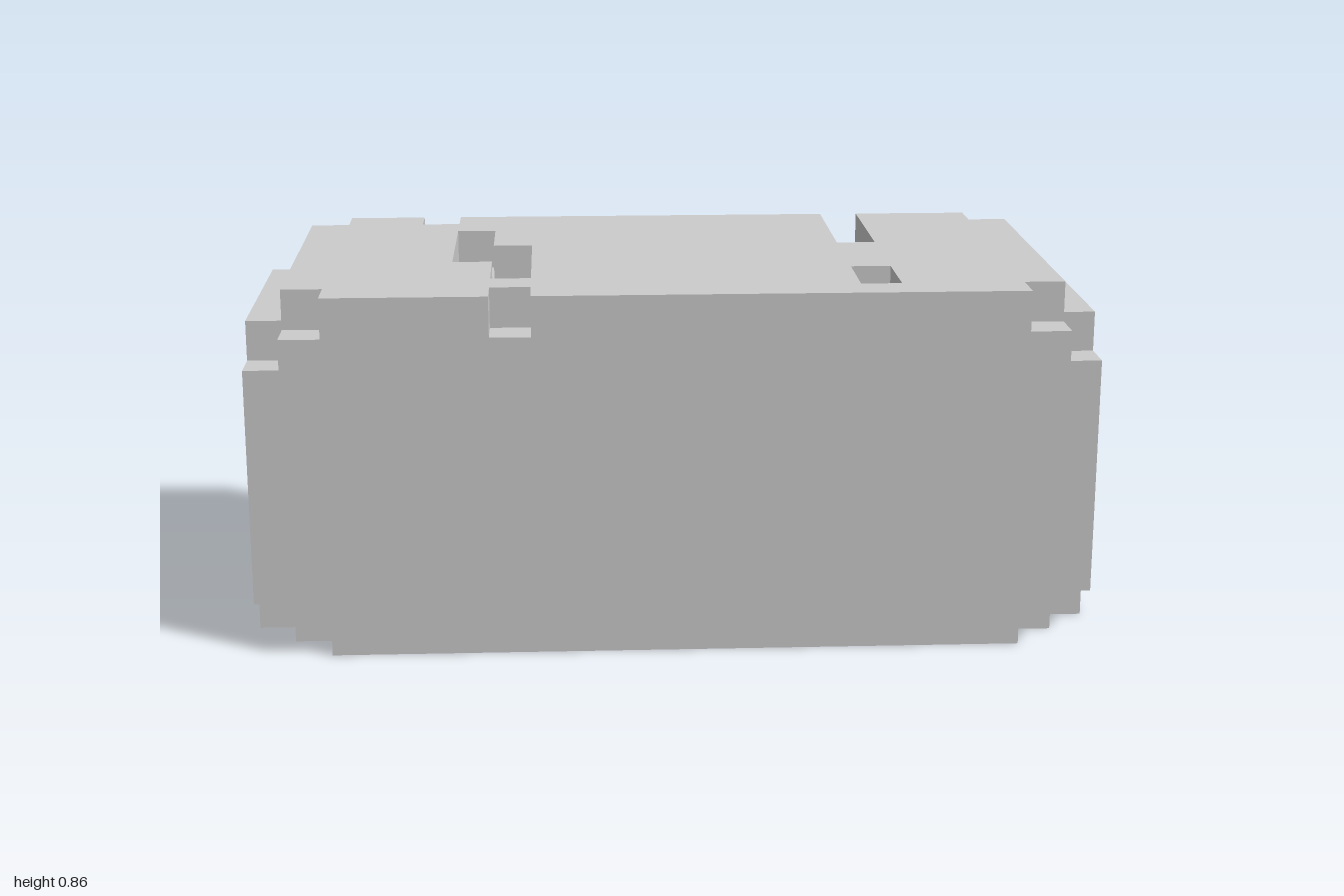
import * as THREE from 'three';

// Block grid: 21 x 9 x 10 cells
const NX = 21, NY = 9, NZ = 10, U = 2 / NX;

// Slots sunk one cell into the top: [column, first row, last row]
const slots = [[4, 0, 0], [5, 2, 5], [6, 4, 7], [6, 9, 9], [15, 0, 3], [15, 7, 8]];

// Main block: corners clipped at top and bottom, slots cut in the top
function inBody(x, y, z) {
  if (x < 1 || x > NX - 2 || y < 0 || y >= NY || z < 0 || z >= NZ) return false;
  const corner = (x === 1 || x === NX - 2) && (z === 0 || z === NZ - 1);
  if (corner && (y === 0 || y === NY - 1)) return false;
  return !(y === NY - 1 && slots.some(([c, a, b]) => x === c && z >= a && z <= b));
}

// End plates: one cell thick, narrower and lower, with clipped corners
function inEnd(x, y, z) {
  if ((x !== 0 && x !== NX - 1) || y < 0 || y > NY - 2 || z < 1 || z > NZ - 2) return false;
  return !((z === 1 || z === NZ - 2) && (y === 0 || y === NY - 2));
}

const solid = (...c) => inBody(...c) || inEnd(...c);

// Outer faces of all cells that belong to one part
function blockPart(name, inside) {
  const pos = [], nor = [], idx = [];
  const origin = [NX / 2, 0, NZ / 2];
  for (let x = 0; x < NX; x++) for (let y = 0; y < NY; y++) for (let z = 0; z < NZ; z++) {
    if (!inside(x, y, z)) continue;
    const cell = [x, y, z];
    for (let axis = 0; axis < 3; axis++) for (const s of [-1, 1]) {
      const n = [0, 0, 0];
      n[axis] = s;
      if (solid(x + n[0], y + n[1], z + n[2])) continue;
      const a = (axis + 1) % 3, b = (axis + 2) % 3, first = pos.length / 3;
      for (const [i, j] of [[0, 0], [1, 0], [1, 1], [0, 1]]) {
        const p = [...cell];
        p[axis] += s > 0 ? 1 : 0;
        p[a] += i;
        p[b] += j;
        pos.push(...p.map((v, k) => (v - origin[k]) * U));
        nor.push(...n);
      }
      const order = s > 0 ? [0, 1, 2, 0, 2, 3] : [0, 2, 1, 0, 3, 2];
      idx.push(...order.map(k => first + k));
    }
  }
  const geometry = new THREE.BufferGeometry();
  geometry.setAttribute('position', new THREE.Float32BufferAttribute(pos, 3));
  geometry.setAttribute('normal', new THREE.Float32BufferAttribute(nor, 3));
  geometry.setIndex(idx);
  const mesh = new THREE.Mesh(geometry,
    new THREE.MeshStandardMaterial({ color: 0xcccccc, flatShading: true }));
  mesh.name = name;
  return mesh;
}

export function createModel() {
  const group = new THREE.Group();
  group.name = 'slottedBlock';
  group.add(
    blockPart('body', inBody),
    blockPart('leftEndPlate', (x, y, z) => x > 0 && inEnd(x, y, z)),
    blockPart('rightEndPlate', (x, y, z) => x === 0 && inEnd(x, y, z)),
  );
  return group;
}
